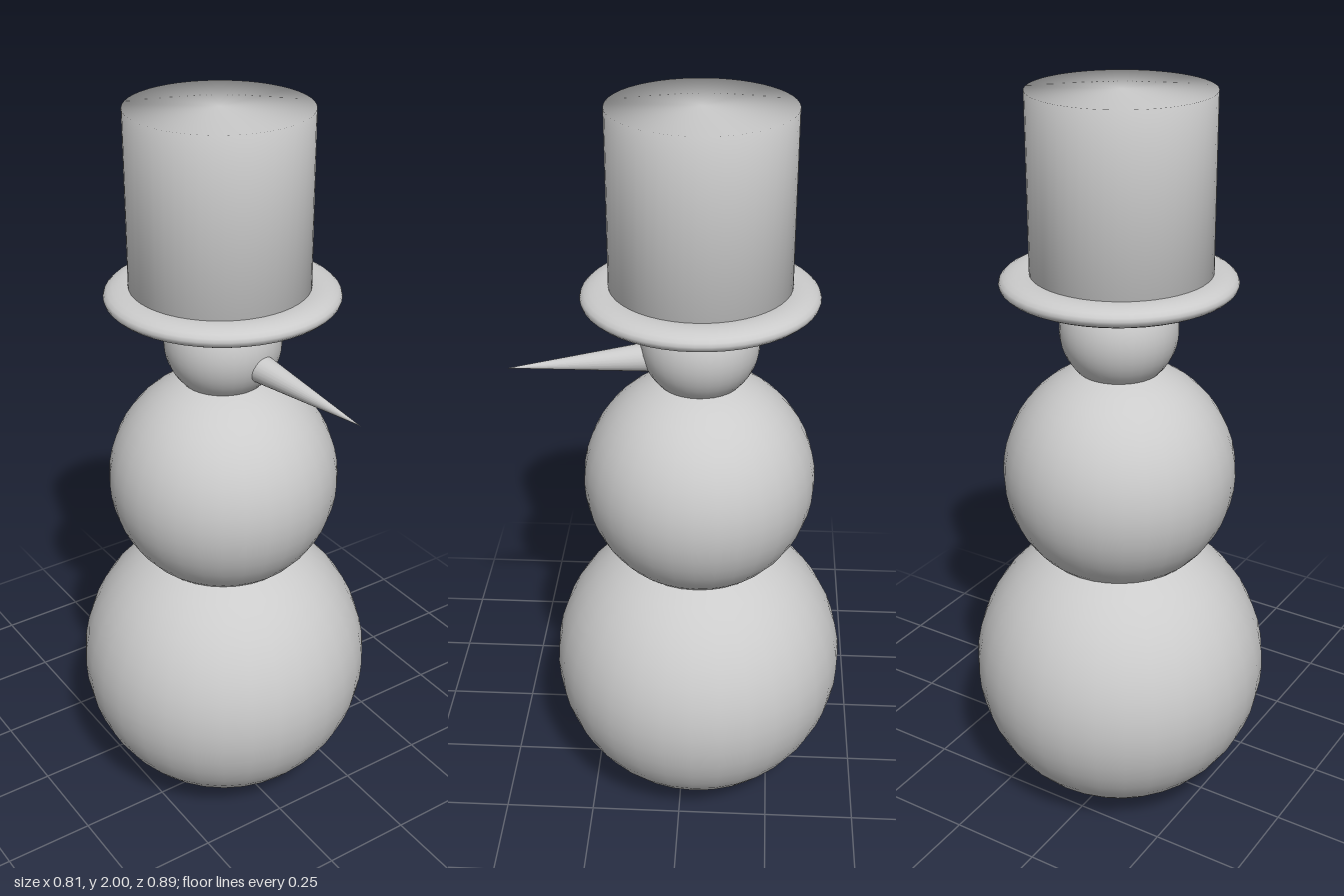
import * as THREE from 'three';
import { mergeVertices } from 'three/addons/utils/BufferGeometryUtils.js';

const AXIS_Z = -0.043; // depth of the body's vertical axis

export function createModel() {
  const group = new THREE.Group();
  const material = new THREE.MeshStandardMaterial({ color: 0xcccccc });

  const add = (name, geometry, x, y, z) => {
    const mesh = new THREE.Mesh(geometry, material);
    mesh.name = name;
    mesh.position.set(x, y, z);
    group.add(mesh);
    return mesh;
  };

  // Three stacked snowballs
  for (const [name, radius, y] of [
    ['lowerBody', 0.404, 0.407],
    ['upperBody', 0.31, 0.995],
    ['head', 0.154, 1.396],
  ]) {
    add(name, new THREE.SphereGeometry(radius, 32, 24), 0, y, AXIS_Z);
  }

  // Carrot nose: a slim cone from inside the head to its tip
  const base = new THREE.Vector3(0.02, 1.362, 0.05);
  const tip = new THREE.Vector3(0.068, 1.339, 0.447);
  const axis = tip.clone().sub(base);
  const middle = base.clone().add(tip).multiplyScalar(0.5);
  const nose = add('nose', new THREE.ConeGeometry(0.042, axis.length(), 24), middle.x, middle.y, middle.z);
  nose.quaternion.setFromUnitVectors(new THREE.Vector3(0, 1, 0), axis.normalize());

  // Hat brim: a ring flattened to half its thickness
  const brim = new THREE.TorusGeometry(0.246, 0.057, 20, 48);
  brim.rotateX(Math.PI / 2).scale(1, 0.49, 1);
  add('hatBrim', brim, 0, 1.524, AXIS_Z);

  // Hat crown: closed cylinder with normals blended over its rims
  const raw = new THREE.CylinderGeometry(0.232, 0.232, 0.478, 48);
  raw.deleteAttribute('normal');
  raw.deleteAttribute('uv');
  const crown = mergeVertices(raw);
  crown.computeVertexNormals();
  add('hatCrown', crown, -0.008, 1.761, AXIS_Z);

  return group;
}
